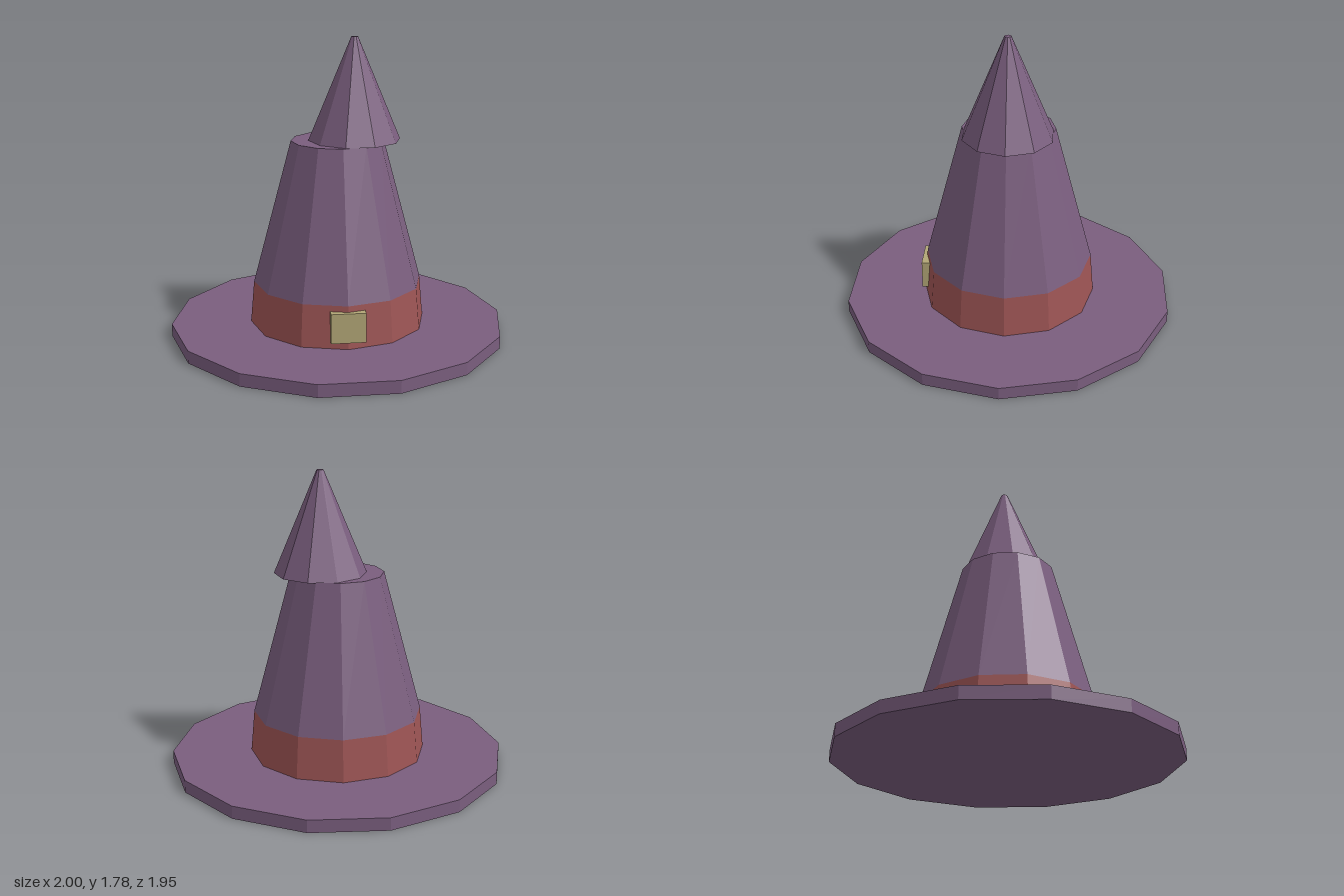
import * as THREE from 'three';

const material = (name, color) => {
  const m = new THREE.MeshStandardMaterial({ color, flatShading: true });
  m.name = name;
  return m;
};

export function createModel() {
  const purple = material('purple cloth', 0x7a5e7e);
  const red = material('red band', 0x9e5555);
  const gold = material('dull gold', 0xb2a676);

  const hat = new THREE.Group();
  hat.name = 'pointedHat';

  // Faceted tapered section from y0 to y1, with a corner on the +x axis
  const section = (name, mat, sides, y0, y1, r0, r1, x = 0) => {
    const geo = new THREE.CylinderGeometry(r1, r0, y1 - y0, sides);
    geo.rotateY(Math.PI / 2);
    const mesh = new THREE.Mesh(geo, mat);
    mesh.name = name;
    mesh.position.set(x, (y0 + y1) / 2, 0);
    hat.add(mesh);
  };

  section('brim', purple, 14, 0, 0.075, 1, 1);
  section('band', red, 12, 0.075, 0.325, 0.525, 0.503);
  section('crown', purple, 12, 0.325, 1.178, 0.503, 0.275);
  // Tip sits off-centre, overhanging the crown on one side
  section('tip', purple, 10, 1.178, 1.78, 0.272, 0.02, 0.1);

  // Buckle set into the front of the band
  const buckle = new THREE.Mesh(new THREE.BoxGeometry(0.2, 0.175, 0.06), gold);
  buckle.name = 'buckle';
  buckle.position.set(0, 0.203, 0.5);
  hat.add(buckle);

  return hat;
}
